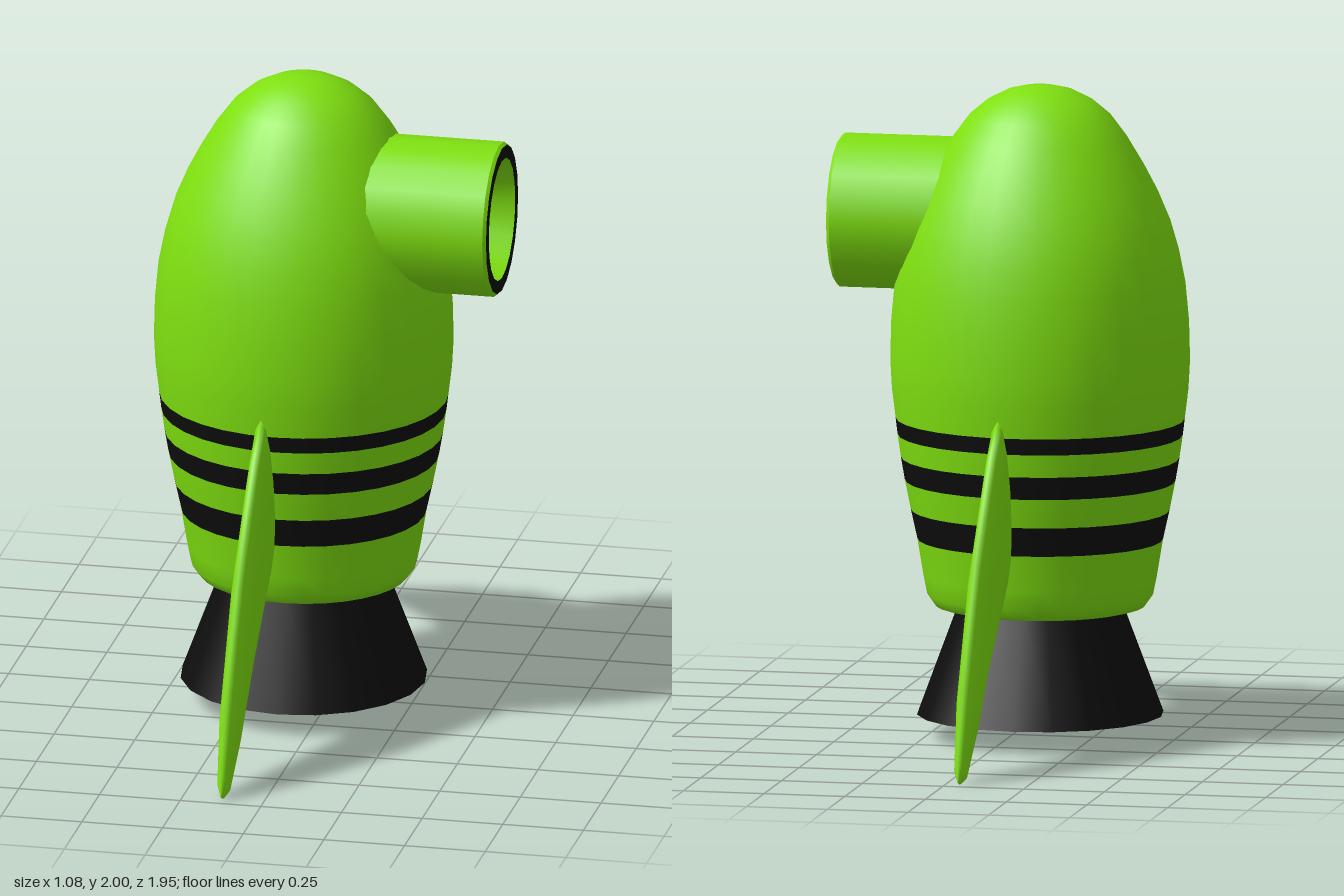
import * as THREE from 'three';

const AXIS_X = -0.085;

export function createModel() {
  const group = new THREE.Group();
  const green = new THREE.MeshStandardMaterial({ color: 0x7fe010 });
  green.name = 'limeGreen';
  const black = new THREE.MeshStandardMaterial({ color: 0x0d0d0d });
  black.name = 'black';

  const add = (name, geometry, material, parent = group) => {
    const mesh = new THREE.Mesh(geometry, material);
    mesh.name = name;
    parent.add(mesh);
    return mesh;
  };
  const lathe = (points, segments) =>
    new THREE.LatheGeometry(points.map(([r, y]) => new THREE.Vector2(r, y)), segments);

  // Hull: a slightly oval lathe, with the stripe rows painted by groups
  const stripes = [[0.61, 0.70], [0.79, 0.86], [0.93, 0.98]];
  const hullGeo = lathe([
    [0, 0.4], [0.29, 0.4], [0.32, 0.408], [0.343, 0.44], [0.355, 0.5],
    [0.373, 0.61], [0.393, 0.70], [0.411, 0.79], [0.423, 0.86], [0.433, 0.93], [0.439, 0.98],
    [0.45, 1.07], [0.455, 1.16], [0.452, 1.28], [0.441, 1.4], [0.421, 1.5], [0.395, 1.59],
    [0.357, 1.68], [0.315, 1.76], [0.267, 1.84], [0.217, 1.907], [0.16, 1.955],
    [0.1, 1.985], [0.05, 1.997], [0, 2],
  ], 32);
  const faces = [[], []];
  const pos = hullGeo.attributes.position;
  const idx = hullGeo.index.array;
  for (let i = 0; i < idx.length; i += 3) {
    const tri = [idx[i], idx[i + 1], idx[i + 2]];
    const y = tri.map((k) => pos.getY(k));
    const mid = (Math.min(...y) + Math.max(...y)) / 2;
    faces[stripes.some(([a, b]) => mid > a && mid < b) ? 1 : 0].push(...tri);
  }
  hullGeo.setIndex([...faces[0], ...faces[1]]);
  hullGeo.clearGroups();
  hullGeo.addGroup(0, faces[0].length, 0);
  hullGeo.addGroup(faces[0].length, faces[1].length, 1);
  const hull = add('hull', hullGeo, [green, black]);
  hull.position.x = AXIS_X;
  hull.scale.z = 0.945;

  // Flared engine nozzle with a green underside
  const nozzle = new THREE.Group();
  nozzle.name = 'nozzle';
  nozzle.position.x = AXIS_X;
  group.add(nozzle);
  add('nozzleSkirt', lathe([[0.375, 0.075], [0.25, 0.41]], 20), black, nozzle);
  add('nozzleUnderside', lathe([[0, 0.075], [0.375, 0.075]], 20), green, nozzle);

  // Porthole tube pointing along +x
  const porthole = new THREE.Group();
  porthole.name = 'porthole';
  porthole.position.set(0, 1.593, 0.026);
  porthole.rotation.z = -Math.PI / 2;
  group.add(porthole);
  add('portholeTube', lathe([[0.236, 0.08], [0.236, 0.525]], 20), green, porthole);
  add('portholeBevel', lathe([[0.236, 0.525], [0.228, 0.535]], 20), green, porthole);
  add('portholeRim', lathe([[0.228, 0.535], [0.188, 0.535]], 20), black, porthole);
  add('portholeBore', lathe([[0.188, 0.535], [0.168, 0.45]], 20), green, porthole);
  add('portholePane', lathe([[0.168, 0.45], [0, 0.45]], 20), green, porthole);

  // Fins: [leading z, leading y, trailing z, trailing y, half thickness]
  const sections = [
    [0.30, 1.05, 0.22, 0.55, 0.03],
    [0.43, 1.03, 0.33, 0.50, 0.035],
    [0.51, 0.95, 0.45, 0.405, 0.036],
    [0.73, 0.65, 0.62, 0.27, 0.036],
    [0.91, 0.27, 0.79, 0.12, 0.032],
    [0.967, 0.07, 0.915, 0.01, 0.02],
    [0.973, 0.022, 0.955, 0.005, 0.006],
  ];
  const finGeo = () => {
    const N = 14;
    const verts = [];
    const index = [];
    for (const [lz, ly, tz, ty, t] of sections) {
      for (let k = 0; k < N; k++) {
        const a = (k / N) * Math.PI * 2;
        const u = (1 - Math.cos(a)) / 2;
        verts.push(t * Math.sin(a), ly + (ty - ly) * u, lz + (tz - lz) * u);
      }
    }
    for (let s = 0; s < sections.length - 1; s++) {
      for (let k = 0; k < N; k++) {
        const a = s * N + k, b = s * N + ((k + 1) % N);
        index.push(a, a + N, b, b, a + N, b + N);
      }
    }
    // Close the tip
    const last = (sections.length - 1) * N;
    for (let k = 1; k < N - 1; k++) index.push(last, last + k + 1, last + k);
    const geo = new THREE.BufferGeometry();
    geo.setAttribute('position', new THREE.Float32BufferAttribute(verts, 3));
    geo.setIndex(index);
    geo.computeVertexNormals();
    return geo;
  };
  add('frontFin', finGeo(), green).position.x = -0.127;
  const backFin = add('backFin', finGeo(), green);
  backFin.position.x = -0.043;
  backFin.rotation.y = Math.PI;

  return group;
}
